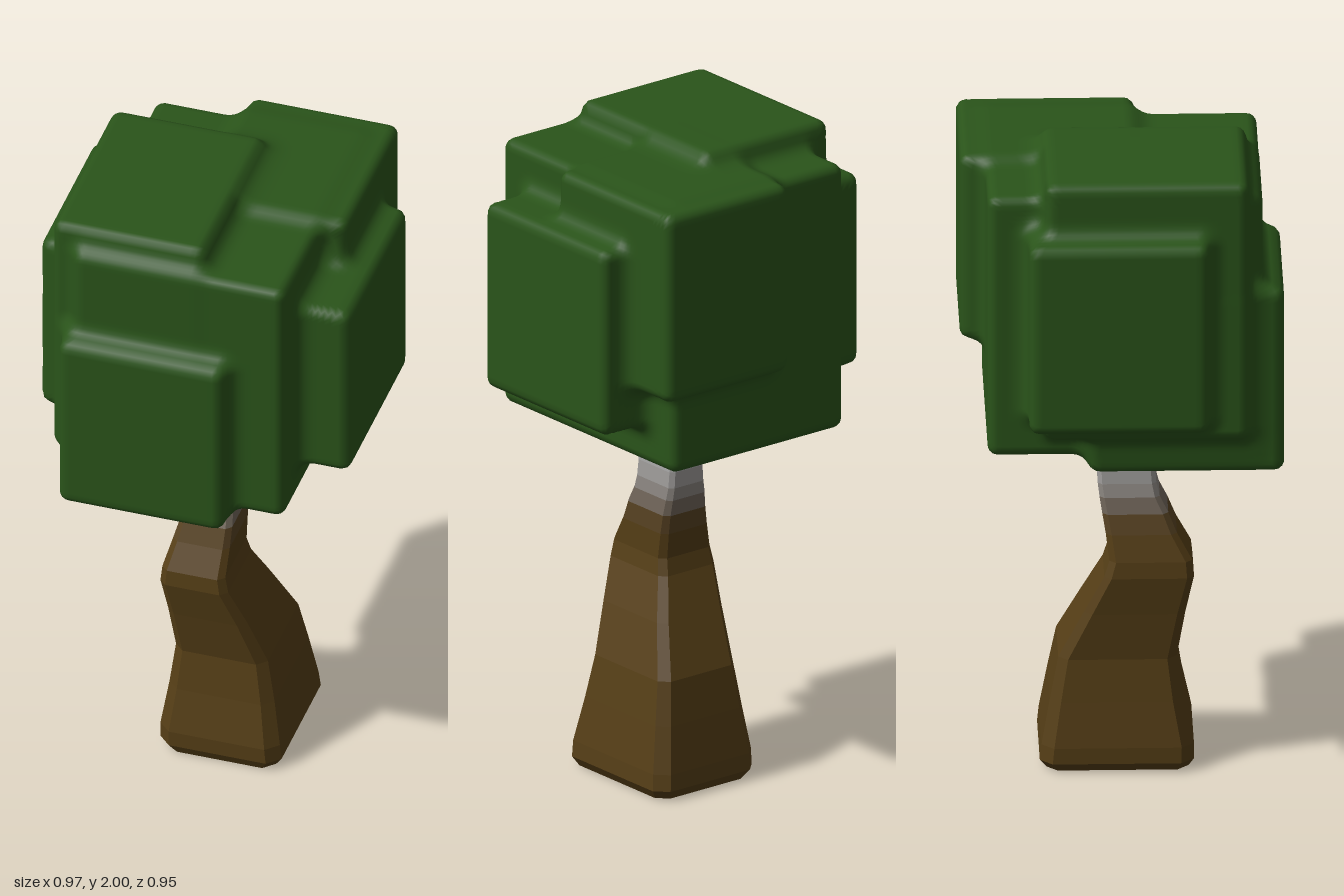
import * as THREE from 'three';

const GREEN = 0x2a541a, BROWN = 0x553e16, GREY = 0xcccccc;

// Overlapping leaf blocks: [x0, x1, y0, y1, z0, z1]
const BLOCKS = [
  [-0.33, 0.32, 1.10, 1.93, -0.40, 0.41],   // core
  [-0.41, 0.06, 1.18, 2.00, -0.23, 0.37],   // tall crown block
  [-0.485, 0.10, 1.23, 1.83, -0.28, 0.25],  // right-hand slab
  [-0.36, 0.15, 1.055, 1.64, -0.10, 0.475], // front slab
  [-0.10, 0.485, 1.22, 1.80, -0.28, 0.29],  // left-hand slab
  [-0.06, 0.40, 1.36, 1.95, -0.475, 0.05],  // back slab
];
const ROUND = 0.03, BLEND = 0.06;

// Signed distance to one rounded block
function blockDistance(p, [x0, x1, y0, y1, z0, z1]) {
  const dx = Math.abs(p.x - (x0 + x1) / 2) - (x1 - x0) / 2 + ROUND;
  const dy = Math.abs(p.y - (y0 + y1) / 2) - (y1 - y0) / 2 + ROUND;
  const dz = Math.abs(p.z - (z0 + z1) / 2) - (z1 - z0) / 2 + ROUND;
  const outside = Math.hypot(Math.max(dx, 0), Math.max(dy, 0), Math.max(dz, 0));
  return outside + Math.min(Math.max(dx, dy, dz), 0) - ROUND;
}

// Blocks melted together with soft inner corners
function foliageDistance(p) {
  return BLOCKS.reduce((d, block) => {
    const e = blockDistance(p, block);
    const h = Math.max(BLEND - Math.abs(d - e), 0) / BLEND;
    return Math.min(d, e) - h * h * BLEND / 4;
  }, 10);
}

// A fine cube is shrunk along rays onto the melted blocks
function makeFoliage() {
  const geometry = new THREE.BoxGeometry(1, 1, 1, 56, 56, 56);
  const pos = geometry.attributes.position, nor = geometry.attributes.normal;
  const centre = new THREE.Vector3(0, 1.52, 0);
  const dir = new THREE.Vector3(), p = new THREE.Vector3(), n = new THREE.Vector3();
  const slope = (axis) => {
    const a = p.clone(), b = p.clone();
    a[axis] += 0.004;
    b[axis] -= 0.004;
    return foliageDistance(a) - foliageDistance(b);
  };
  for (let i = 0; i < pos.count; i++) {
    dir.fromBufferAttribute(pos, i).normalize();
    let t = 1.1;
    for (let step = 0; step < 60; step++) {
      const d = foliageDistance(p.copy(centre).addScaledVector(dir, t));
      t -= d * 0.95;
      if (Math.abs(d) < 0.0003) break;
    }
    p.copy(centre).addScaledVector(dir, t);
    n.set(slope('x'), slope('y'), slope('z')).normalize();
    pos.setXYZ(i, p.x, p.y, p.z);
    nor.setXYZ(i, n.x, n.y, n.z);
  }
  const mesh = new THREE.Mesh(geometry, new THREE.MeshStandardMaterial({ color: GREEN }));
  mesh.name = 'foliage';
  return mesh;
}

// Trunk cross-sections: [y, x0, x1, z0, z1]
const RINGS = [
  [0.00, -0.11, 0.22, -0.22, 0.20],
  [0.03, -0.135, 0.24, -0.24, 0.215],
  [0.08, -0.135, 0.235, -0.235, 0.215],
  [0.22, -0.115, 0.21, -0.21, 0.185],
  [0.35, -0.10, 0.185, -0.185, 0.165],
  [0.50, -0.115, 0.13, -0.11, 0.19],
  [0.62, -0.13, 0.08, -0.05, 0.215],
  [0.67, -0.125, 0.07, -0.035, 0.21],
  [0.75, -0.105, 0.07, -0.045, 0.165],
  [0.81, -0.09, 0.07, -0.055, 0.14],
  [0.86, -0.08, 0.066, -0.063, 0.115],
  [0.90, -0.07, 0.062, -0.068, 0.105],
  [0.95, -0.065, 0.06, -0.07, 0.10],
  [0.99, -0.068, 0.06, -0.07, 0.10],
  [1.02, -0.09, 0.08, -0.09, 0.125],
  [1.045, -0.125, 0.115, -0.125, 0.16],
  [1.065, -0.18, 0.17, -0.17, 0.21],
  [1.12, -0.24, 0.23, -0.22, 0.26],
];

// Square with cut corners, anticlockwise seen from below
function ringPoints([y, x0, x1, z0, z1]) {
  const c = 0.1 * Math.min(x1 - x0, z1 - z0);
  return [
    [x0 + c, z0], [x1 - c, z0], [x1, z0 + c], [x1, z1 - c],
    [x1 - c, z1], [x0 + c, z1], [x0, z1 - c], [x0, z0 + c],
  ].map(([x, z]) => [x, y, z]);
}

// Bark fades to pale at the neck, then into leaf green
function barkColor(y) {
  const color = new THREE.Color(BROWN), pale = new THREE.Color(GREY).multiplyScalar(0.7);
  if (y < 1.0) return color.lerp(pale, THREE.MathUtils.smoothstep(y, 0.76, 1.0));
  return pale.lerp(new THREE.Color(GREEN), THREE.MathUtils.smoothstep(y, 1.0, 1.06));
}

function makeBand(lower, upper, capped) {
  const a = ringPoints(lower), b = ringPoints(upper), verts = [];
  a.forEach((_, i) => {
    const j = (i + 1) % a.length;
    verts.push(...a[i], ...b[i], ...b[j], ...a[i], ...b[j], ...a[j]);
    if (capped && i > 0 && j > 0) verts.push(...a[0], ...a[i], ...a[j]);
  });
  const geometry = new THREE.BufferGeometry();
  geometry.setAttribute('position', new THREE.Float32BufferAttribute(verts, 3));
  geometry.computeVertexNormals();
  const color = barkColor((lower[0] + upper[0]) / 2);
  return new THREE.Mesh(geometry, new THREE.MeshStandardMaterial({ color, flatShading: true }));
}

function makeTrunk() {
  const trunk = new THREE.Group();
  trunk.name = 'trunk';
  for (let i = 0; i < RINGS.length - 1; i++) {
    const band = makeBand(RINGS[i], RINGS[i + 1], i === 0);
    band.name = RINGS[i][0] < 0.8 ? 'trunkSection' : 'trunkNeck';
    trunk.add(band);
  }
  return trunk;
}

export function createModel() {
  const tree = new THREE.Group();
  tree.name = 'tree';
  tree.add(makeTrunk(), makeFoliage());
  return tree;
}
